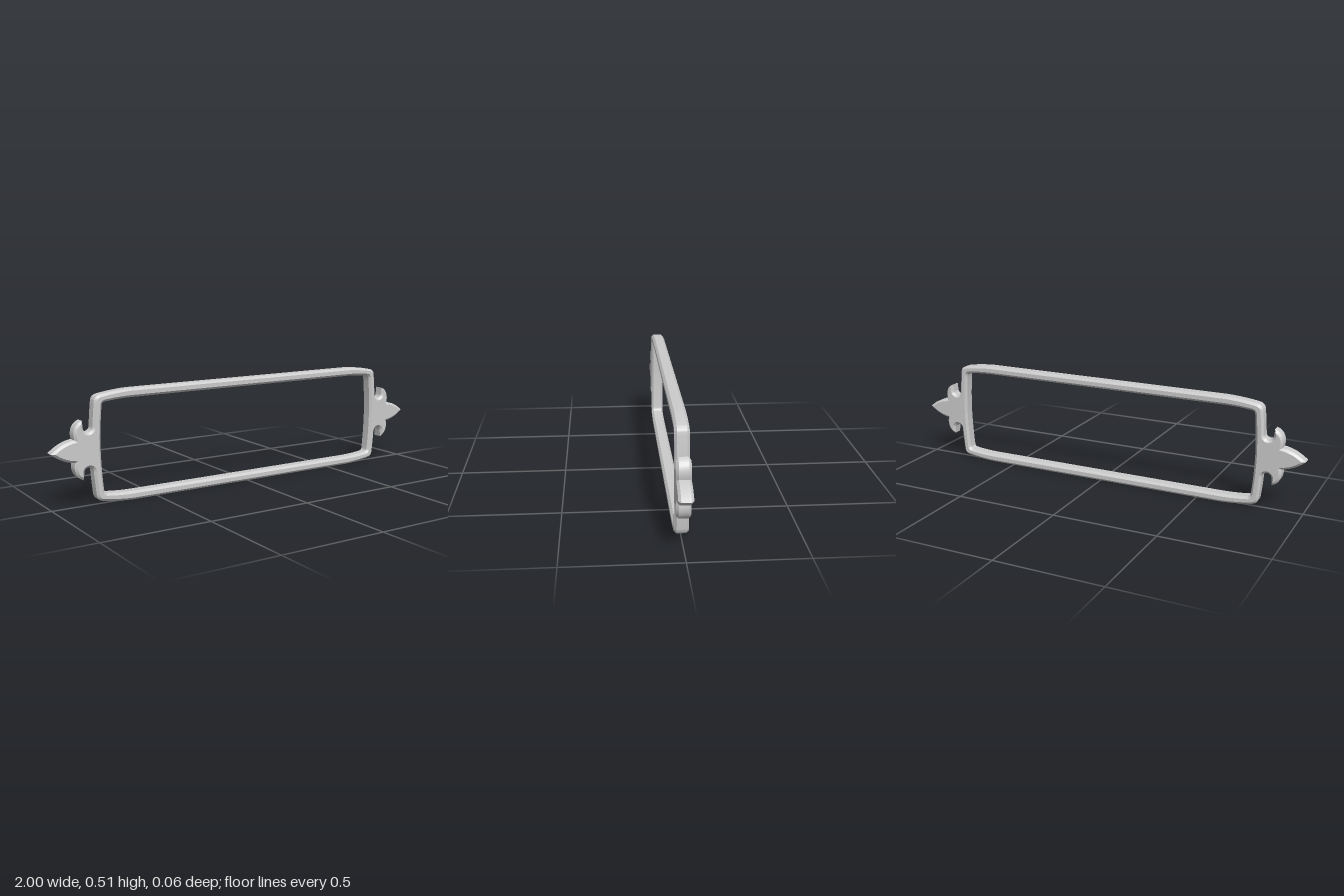
import * as THREE from 'three';
import { toCreasedNormals } from 'three/addons/utils/BufferGeometryUtils.js';

const HALF_HEIGHT = 0.254, DEPTH = 0.062, BEVEL = 0.0105;

// Mirror one quarter of an outline (from the +x axis to the top) into a closed loop
function mirrorQuarter(path, divisions) {
  const q = path.getPoints(divisions);
  const flip = (pts, sx, sy) => pts.map(p => new THREE.Vector2(p.x * sx, p.y * sy));
  const left = flip(q, -1, 1).reverse();
  const lowerLeft = flip(q, -1, -1).slice(1);
  const lowerRight = flip(q, 1, -1).reverse().slice(0, -1);
  return [...q, ...left, ...lowerLeft, ...lowerRight];
}

export function createModel() {
  const group = new THREE.Group();
  group.name = 'ornamentalFrame';

  // Outer outline: pointed petal, side leaf, round notch, bowed side, soft corner, top rail
  const outer = new THREE.Path();
  outer.moveTo(1, 0);
  outer.quadraticCurveTo(0.95, 0.043, 0.893, 0.05);
  outer.bezierCurveTo(0.902, 0.085, 0.89, 0.12, 0.855, 0.132);
  outer.lineTo(0.852, 0.1);
  outer.absarc(0.8295, 0.1, 0.0225, 0, -Math.PI, true);
  outer.quadraticCurveTo(0.804, 0.15, 0.797, 0.21);
  outer.quadraticCurveTo(0.794, 0.232, 0.77, 0.238);
  outer.quadraticCurveTo(0.7, 0.251, 0.62, HALF_HEIGHT);

  // Inner opening, following the frame at an even width
  const inner = new THREE.Path();
  inner.moveTo(0.772, 0);
  inner.quadraticCurveTo(0.771, 0.1, 0.761, 0.192);
  inner.quadraticCurveTo(0.759, 0.203, 0.748, 0.205);
  inner.quadraticCurveTo(0.69, 0.213, 0.62, 0.214);

  const shape = new THREE.Shape(mirrorQuarter(outer, 10));
  shape.holes.push(new THREE.Path(mirrorQuarter(inner, 10)));

  // Chamfered plate, centred in depth and standing on the ground
  let geometry = new THREE.ExtrudeGeometry(shape, {
    depth: DEPTH - 2 * BEVEL,
    bevelEnabled: true,
    bevelThickness: BEVEL,
    bevelSize: BEVEL,
    bevelOffset: -BEVEL,
    bevelSegments: 1,
  });
  geometry.translate(0, HALF_HEIGHT, BEVEL - DEPTH / 2);
  geometry = toCreasedNormals(geometry, 0.5);

  const frame = new THREE.Mesh(geometry, new THREE.MeshStandardMaterial({ color: 0xcccccc }));
  frame.name = 'frameWithEndOrnaments';
  group.add(frame);
  return group;
}
